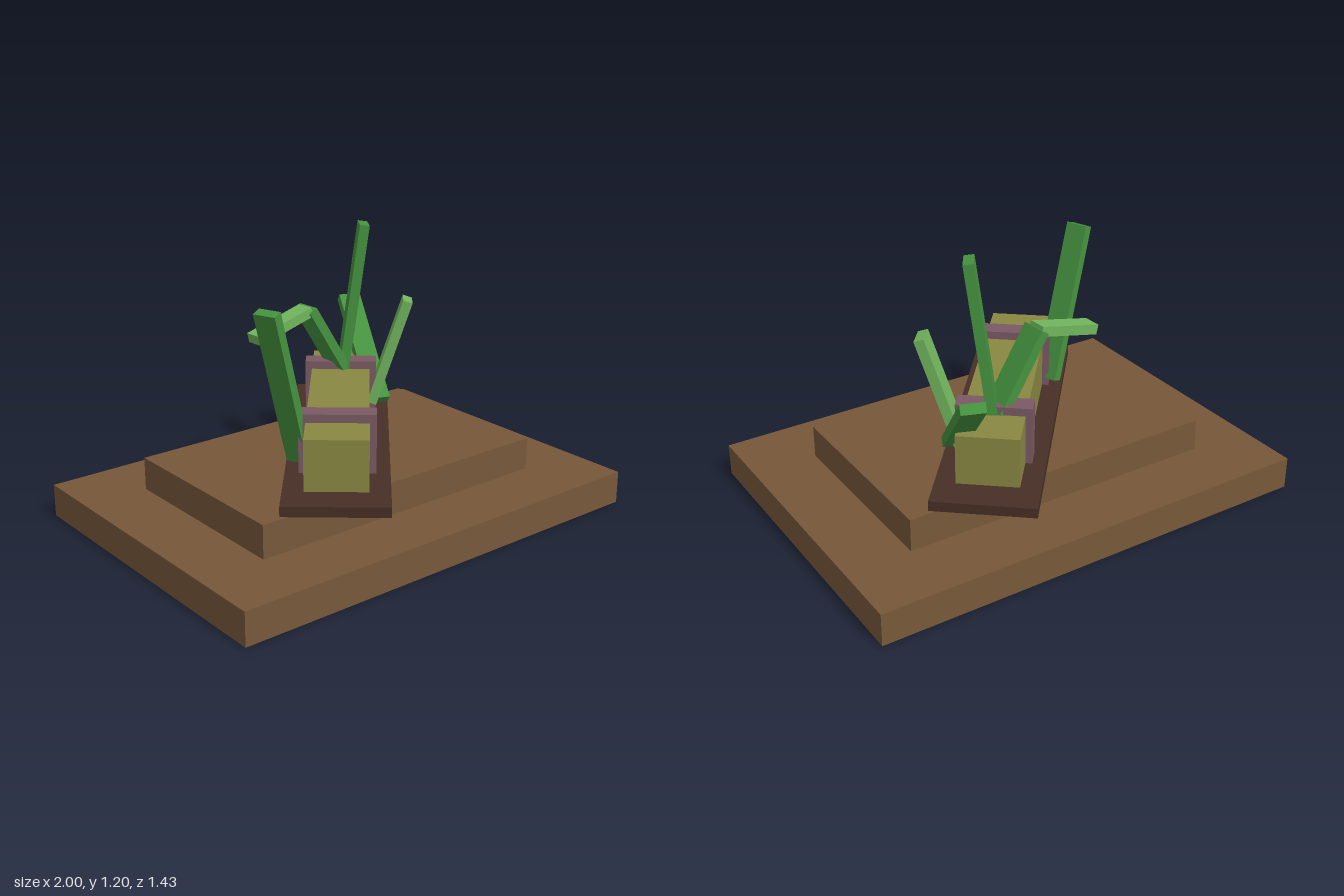
import * as THREE from 'three';

const mat = (name, color) => {
  const m = new THREE.MeshStandardMaterial({ color, flatShading: true });
  m.name = name;
  return m;
};

export function createModel() {
  const model = new THREE.Group();
  model.name = 'plantDisplay';

  const brown = mat('brown wood', 0x775839);
  const darkBrown = mat('dark brown board', 0x472f26);
  const olive = mat('olive log', 0x8a8842);
  const mauve = mat('mauve strap', 0x7b5963);
  const green = mat('leaf green', 0x45933f);
  const lightGreen = mat('light leaf green', 0x70b55d);

  // Box whose bottom sits at y0
  const box = (parent, name, material, w, h, d, x, y0, z) => {
    const mesh = new THREE.Mesh(new THREE.BoxGeometry(w, h, d), material);
    mesh.name = name;
    mesh.position.set(x, y0 + h / 2, z);
    parent.add(mesh);
  };

  // Stepped plinth
  box(model, 'plinthLower', brown, 2, 0.143, 1.428, 0, 0, 0);
  box(model, 'plinthUpper', brown, 1.428, 0.143, 0.857, 0, 0.143, 0);

  // Diagonal board with the strapped log
  const bed = new THREE.Group();
  bed.name = 'logBed';
  bed.rotation.y = THREE.MathUtils.degToRad(50);
  model.add(bed);
  box(bed, 'board', darkBrown, 1.428, 0.043, 0.428, 0, 0.286, 0);
  box(bed, 'log', olive, 1.143, 0.216, 0.257, 0, 0.329, 0);
  for (const [name, x] of [['frontStrap', -0.342], ['backStrap', 0.342]])
    box(bed, name, mauve, 0.086, 0.28, 0.314, x, 0.3, 0);

  // Flat leaf blade between two points, thin side facing the way it leans
  const leaf = (name, material, a, b, width = 0.1) => {
    const from = new THREE.Vector3(...a), to = new THREE.Vector3(...b);
    const axis = to.clone().sub(from);
    const length = axis.length();
    axis.normalize();
    const wide = new THREE.Vector3(axis.x, 0, axis.z).normalize().cross(new THREE.Vector3(0, 1, 0));
    const thin = axis.clone().cross(wide).normalize();
    const mesh = new THREE.Mesh(new THREE.BoxGeometry(0.043, length, width), material);
    mesh.name = name;
    mesh.quaternion.setFromRotationMatrix(new THREE.Matrix4().makeBasis(thin, axis, wide));
    mesh.position.copy(from).add(to).multiplyScalar(0.5);
    model.add(mesh);
  };

  leaf('frontLeaf', green, [-0.32, 0.36, 0.14], [-0.525, 1.03, 0.215]);
  leaf('tallLeaf', green, [0.207, 0.36, -0.27], [0.302, 1.195, -0.207]);
  leaf('backLeaf', green, [0.348, 0.385, -0.15], [0.495, 0.763, -0.545]);
  leaf('sideLeaf', lightGreen, [0.325, 0.385, -0.172], [0.445, 0.858, -0.072]);
  leaf('bentLeafStem', green, [0.24, 0.5, -0.265], [0.013, 0.85, -0.25], 0.11);
  leaf('bentLeafTip', lightGreen, [0.013, 0.845, -0.245], [-0.277, 0.773, -0.225], 0.08);

  return model;
}
